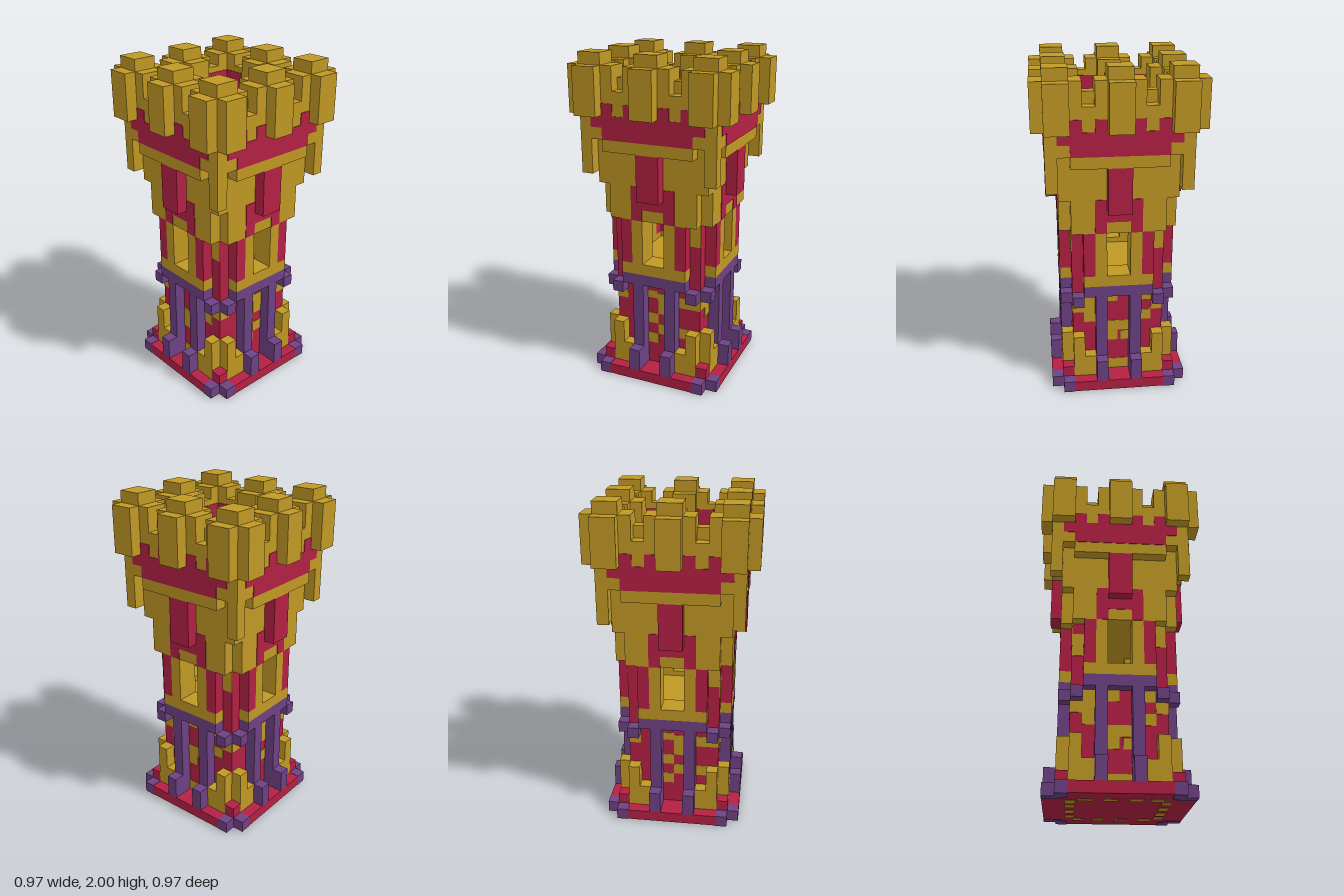
import * as THREE from 'three';

const U = 2 / 29; // one block

export function createModel() {
  const mat = (name, color) => {
    const m = new THREE.MeshStandardMaterial({ color });
    m.name = name;
    return m;
  };
  const gold = mat('gold', 0xc09824);
  const red = mat('crimson', 0xb42044);
  const purple = mat('purple', 0x6e4183);

  // box between two corners, measured in blocks
  const box = (parent, name, m, x0, x1, y0, y1, z0, z1) => {
    const g = new THREE.BoxGeometry((x1 - x0) * U, (y1 - y0) * U, (z1 - z0) * U);
    const mesh = new THREE.Mesh(g, m);
    mesh.name = name;
    mesh.position.set((x0 + x1) / 2 * U, (y0 + y1) / 2 * U, (z0 + z1) / 2 * U);
    parent.add(mesh);
    return mesh;
  };
  // the same box on both sides of x = 0
  const pair = (parent, name, m, x0, x1, ...rest) => {
    box(parent, name, m, x0, x1, ...rest);
    box(parent, name, m, -x1, -x0, ...rest);
  };
  // thin painted patch lying on a front face at depth z
  const patch = (parent, name, m, x0, x1, y0, y1, z) =>
    box(parent, name, m, x0, x1, y0, y1, z - 0.03, z + 0.05);

  const tower = new THREE.Group();
  tower.name = 'tower';

  // cores
  box(tower, 'basePlate', red, -5, 5, 0.04, 1, -5, 5);
  box(tower, 'lowerCore', red, -4, 4, 1, 9, -4, 4);
  box(tower, 'windowFloor', gold, -3.5, 3.5, 9, 10.5, -3.5, 3.5);
  box(tower, 'upperCore', gold, -4, 4, 15, 18, -4, 4);
  box(tower, 'upperBody', gold, -5, 5, 18, 22, -5, 5);
  box(tower, 'crownBody', gold, -6, 6, 22, 24, -6, 6);
  box(tower, 'roofFloor', red, -4, 4, 24, 25, -4, 4);

  // wall patches on the lower storey: [x0, x1, y0, y1]
  const patchSets = [
    [[-1, 1, 1, 2], [-1, 0, 4, 5], [-1, 1, 5, 6], [-1, 0, 8, 9], [0.3, 1, 4, 4.9],
      [-3, -2, 6, 9], [-4, -3, 7, 8], [2, 3, 6, 7], [2, 3, 8, 9], [3, 4, 7, 8], [-3, -2, 1, 3], [2, 3, 1, 3]],
    [[-1, 0, 3, 4], [0, 1, 4, 5], [-1, 0, 5, 6], [0, 1, 6, 8], [-1, 0, 7.5, 8.2],
      [-4, -3, 7, 8], [2, 3, 7, 8], [3, 4, 7, 8], [2, 3, 4, 5]],
  ];

  for (let i = 0; i < 4; i++) {
    const side = new THREE.Group();
    side.name = 'side' + (i + 1);
    side.rotation.y = i * Math.PI / 2;
    tower.add(side);

    // base rim, corner feet and short posts
    box(side, 'baseRim', red, -4, 4, 0.04, 1, 5, 6);
    pair(side, 'baseCorner', purple, 4, 5, 0, 1.03, 4.5, 6);
    pair(side, 'shortPost', purple, 1, 2, 1, 3, 5, 6);
    box(side, 'cornerStub', red, 4, 5, 1, 2, 4, 5);
    pair(side, 'cornerPost', gold, 3, 4, 1, 5, 4, 5);
    pair(side, 'lowPost', gold, 2, 3, 1, 3, 4, 5);
    for (const x of [-3.2, -1.2, 0.8, 2.4])
      box(side, 'undersidePatch', gold, x, x + 1.1, 0, 0.06, 3.4, 4.2);

    // lower storey columns and painted patches
    pair(side, 'column', purple, 1, 2, 1, 9, 4, 5);
    for (const [x0, x1, y0, y1] of patchSets[i % 2])
      patch(side, 'wallPatch', gold, x0, x1, y0, y1, 4);

    // purple ring with corner brackets
    box(side, 'ring', purple, -3, 3, 9, 10, 3, 5);
    pair(side, 'ringBracket', purple, 3, 4, 8, 9, 4, 5);

    // window storey
    box(side, 'windowSill', gold, -3, 3, 10, 11, 3, 5);
    pair(side, 'windowFrame', gold, 1, 2, 11, 15, 3, 5);
    pair(side, 'windowPanel', red, 2, 3, 11, 15, 3, 5);
    box(side, 'cornerPillar', red, 3, 4, 9, 15, 3, 4);
    patch(side, 'pillarPatch', gold, 3, 4, 13, 15, 4);
    if (i === 0) patch(side, 'pillarPatch', gold, -4, -3, 12, 14, 4);

    // upper wall
    box(side, 'upperWall', gold, -4, 4, 15, 18, 4, 5);
    patch(side, 'archPaint', red, -2, -1, 15, 18, 5);
    patch(side, 'archPaint', red, 1, 2, 15, 18, 5);
    patch(side, 'archPaint', red, -1, 1, 16, 17, 5);
    box(side, 'banner', red, -1, 1, 17, 21, 5, 6);
    box(side, 'ledge', gold, -4, 4, 21, 22, 5, 6);
    box(side, 'cornerBracket', gold, 5, 6, 19, 22, 5, 6);

    // painted band under the crown
    patch(side, 'band', red, -4, 4, 22, 23, 6);
    patch(side, 'band', red, -5, 5, 23, 24, 6);
    for (const x of [-4, -2, 1, 3])
      patch(side, 'bandTooth', red, x, x + 1, 24, 25, 6);

    // parapet
    box(side, 'parapetOuter', gold, -4, 4, 24, 26, 5, 6);
    box(side, 'parapetInner', gold, -4, 4, 24, 27, 4, 5);
    box(side, 'parapetLining', red, -4, 4, 25, 26.5, 3.94, 4.04);

    // middle merlon
    box(side, 'merlon', gold, -2, 2, 24, 28, 4, 6);
    box(side, 'merlonTop', gold, -1, 1, 28, 29, 4, 6);
    box(side, 'merlonFront', gold, -1, 1, 24, 28, 6, 7);
    box(side, 'merlonBack', gold, -1, 1, 25, 28, 3, 4);

    // corner merlon
    box(side, 'cornerMerlon', gold, 4, 6, 24, 29, 4, 6);
    box(side, 'cornerMerlonStep', gold, 3, 4, 24, 28, 4, 6);
    box(side, 'cornerMerlonStep', gold, 4, 6, 24, 28, 3, 4);
    box(side, 'cornerMerlonFront', gold, 4, 6, 24, 28, 6, 7);
    box(side, 'cornerMerlonSide', gold, 6, 7, 24, 28, 4, 6);
  }
  return tower;
}
